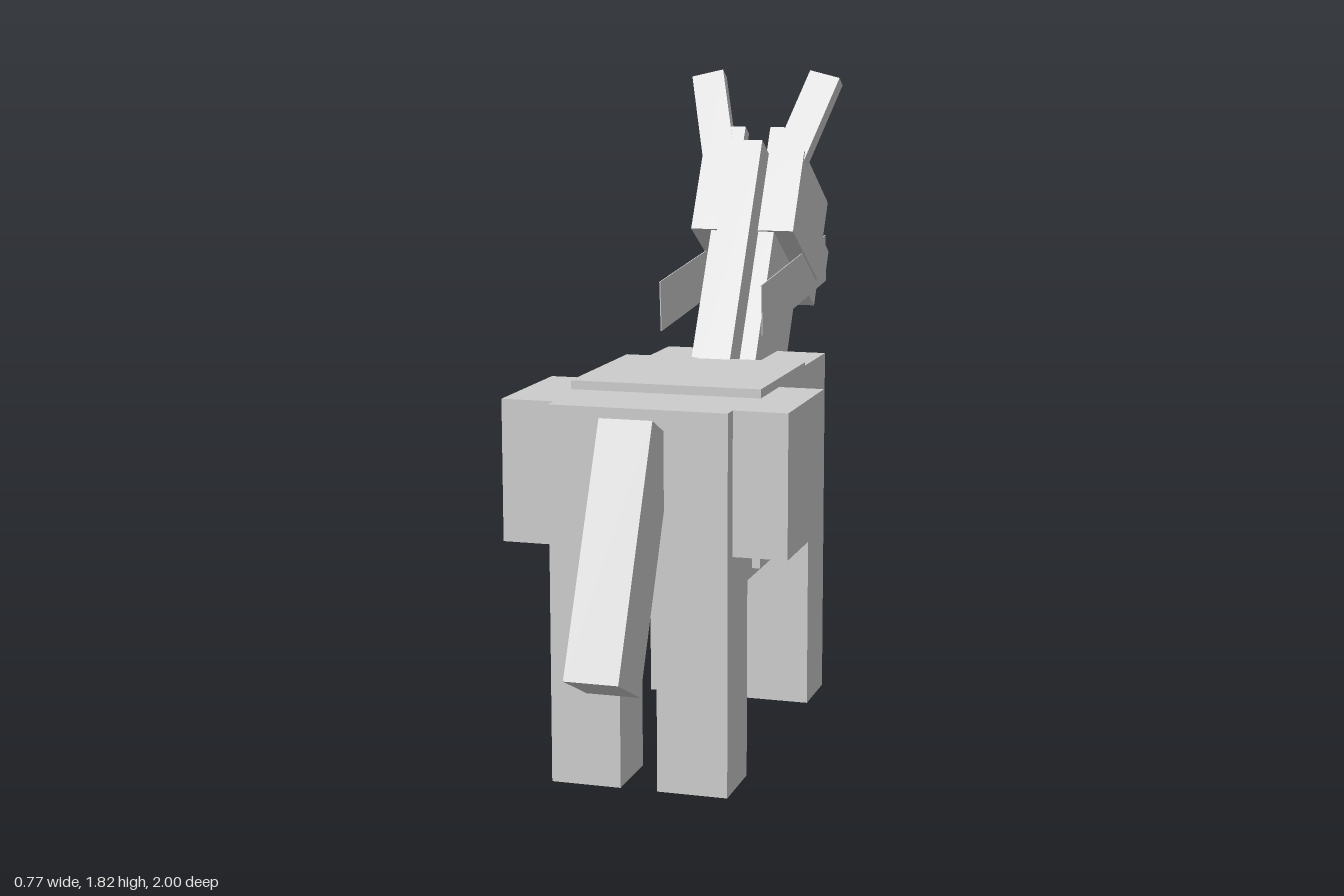
import * as THREE from 'three';

export function createModel() {
  const model = new THREE.Group();
  model.name = 'packDonkey';
  const grey = new THREE.MeshStandardMaterial({ color: 0xcccccc });
  grey.name = 'plainGrey';

  // Box given by its lower and upper limits on each axis
  function box(parent, name, [x0, x1], [y0, y1], [z0, z1]) {
    const mesh = new THREE.Mesh(new THREE.BoxGeometry(x1 - x0, y1 - y0, z1 - z0), grey);
    mesh.position.set((x0 + x1) / 2, (y0 + y1) / 2, (z0 + z1) / 2);
    mesh.name = name;
    parent.add(mesh);
    return mesh;
  }
  // The same box on both sides of the body
  function pair(parent, name, [x0, x1], y, z) {
    return [
      box(parent, name + 'Left', [x0, x1], y, z),
      box(parent, name + 'Right', [-x1, -x0], y, z),
    ];
  }

  // Trunk, saddle and packs
  box(model, 'body', [-0.24, 0.24], [0.533, 1.01], [-0.42, 0.627]);
  box(model, 'saddle', [-0.262, 0.262], [0.555, 1.034], [-0.087, 0.389]);
  pair(model, 'pack', [0.24, 0.385], [0.63, 1.01], [0.2, 0.581]);

  // Legs
  pair(model, 'frontLeg', [0.05, 0.24], [0, 0.533], [-0.42, -0.23]);
  pair(model, 'hindLeg', [0.05, 0.24], [0, 0.533], [0.437, 0.627]);

  // Tail
  const tail = box(model, 'tail', [-0.071, 0.071], [-0.333, 0.333], [-0.095, 0.095]);
  tail.position.set(0, 0.657, 0.774);
  tail.rotation.x = -Math.PI * 25 / 180;

  // Neck and head lean forward together, measured from the top of the mane
  const head = new THREE.Group();
  head.name = 'neckAndHead';
  head.position.set(0, 1.629, -0.416);
  head.rotation.x = -Math.PI / 6;
  model.add(head);
  box(head, 'mane', [-0.048, 0.048], [-0.762, 0], [-0.095, 0]);
  box(head, 'neck', [-0.095, 0.095], [-0.81, -0.238], [-0.428, -0.095]);
  box(head, 'skull', [-0.154, 0.154], [-0.248, 0.01], [-0.439, -0.087]);
  box(head, 'muzzle', [-0.095, 0.095], [-0.238, 0], [-0.67, -0.428]);
  box(head, 'noseband', [-0.105, 0.105], [-0.248, 0.01], [-0.534, -0.42]);
  pair(head, 'bit', [0.095, 0.143], [-0.191, -0.095], [-0.572, -0.476]);

  // Long ears spread outwards, with short inner ears at their roots
  pair(head, 'longEar', [0.09, 0.186], [-0.059, 0.275], [-0.143, -0.096]).forEach((ear, i) => {
    ear.rotation.z = (i ? 1 : -1) * Math.PI / 12;
  });
  pair(head, 'innerEar', [0.038, 0.128], [-0.05, 0.092], [-0.142, -0.097]);

  // Reins run back from the bit
  for (const rein of pair(model, 'rein', [0.146, 0.149], [-0.071, 0.071], [-0.381, 0.381])) {
    rein.position.y = 1.214;
    rein.position.z = -0.424;
    rein.rotation.x = Math.PI * 5 / 180;
  }

  return model;
}
